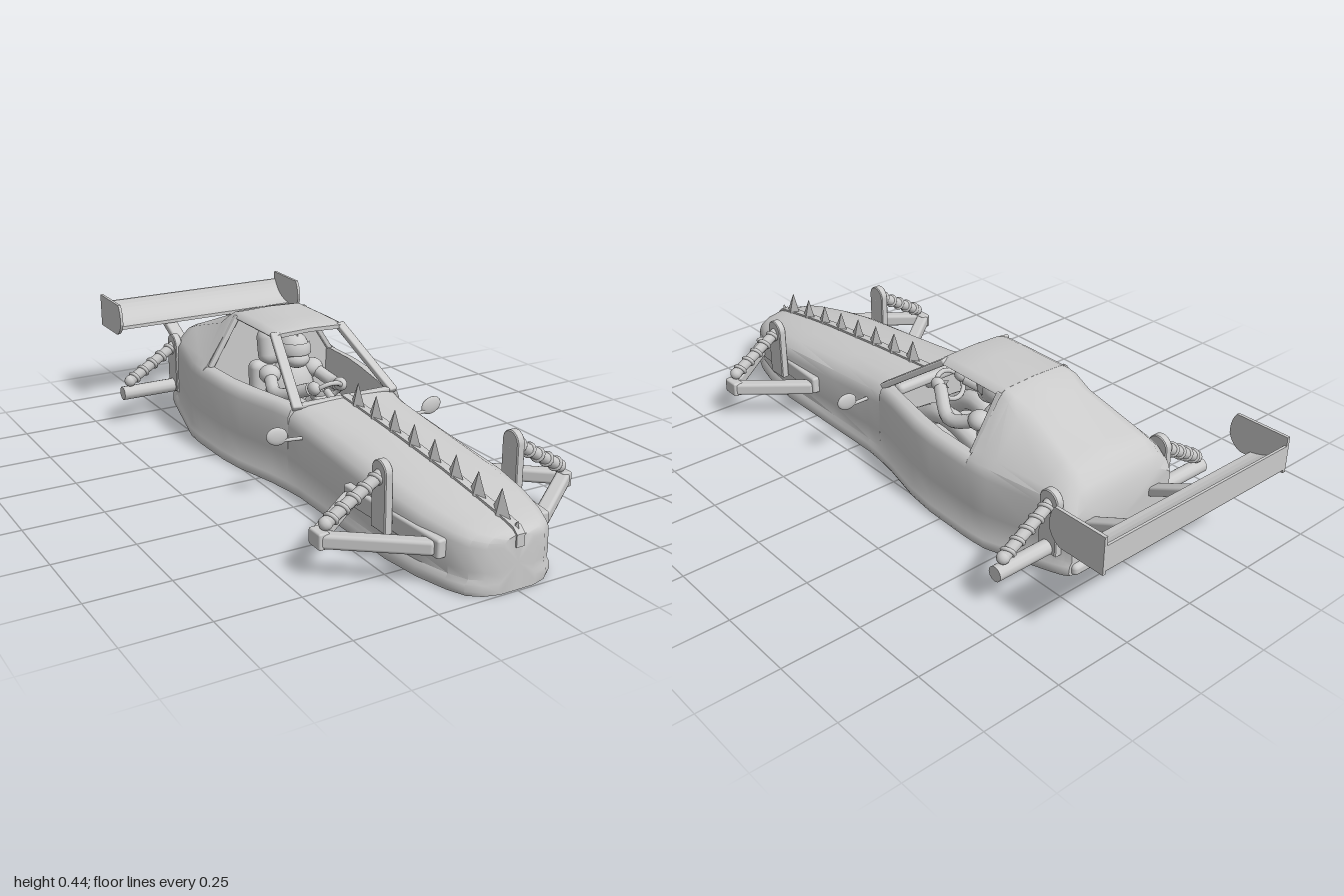
import * as THREE from 'three';
import { toCreasedNormals } from 'three/addons/utils/BufferGeometryUtils.js';
import { RoundedBoxGeometry } from 'three/addons/geometries/RoundedBoxGeometry.js';

const grey = new THREE.MeshStandardMaterial({ color: 0xcccccc });
const V = (x, y, z) => new THREE.Vector3(x, y, z);

// Skin over half sections (bottom centre to top centre), mirrored, running from front to back
function loft(stations) {
  const rings = stations.map(({ z, half }) => {
    const right = half.map(([x, y]) => V(x, y, z));
    const left = half.slice(1, -1).reverse().map(([x, y]) => V(-x, y, z));
    return [...right, ...left];
  });
  const pos = [];
  const tri = (...ps) => ps.forEach(p => pos.push(p.x, p.y, p.z));
  const n = rings[0].length;
  const middle = ring => ring[0].clone().lerp(ring[n / 2], 0.5);
  const first = rings[0], last = rings[rings.length - 1];
  for (let j = 0; j < n; j++) {
    const k = (j + 1) % n;
    for (let i = 0; i < rings.length - 1; i++) {
      const r = rings[i], q = rings[i + 1];
      tri(r[j], q[j], r[k]);
      tri(r[k], q[j], q[k]);
    }
    tri(middle(first), first[j], first[k]);
    tri(middle(last), last[k], last[j]);
  }
  const g = new THREE.BufferGeometry();
  g.setAttribute('position', new THREE.Float32BufferAttribute(pos, 3));
  return toCreasedNormals(g, 0.65);
}

// Lower hull with its skirt, shared by every section
const lower = (w, yb, ySh) => [
  [0, yb], [w - 0.006, yb], [w, yb + 0.012], [w - 0.002, yb + 0.032],
  [w - 0.011, yb + 0.045], [w - 0.009, (yb + ySh) / 2], [w - 0.011, ySh],
];

export function createModel() {
  const model = new THREE.Group();
  const add = (name, geo, x = 0, y = 0, z = 0, parent = model) => {
    const m = new THREE.Mesh(geo, grey);
    m.name = name;
    m.position.set(x, y, z);
    parent.add(m);
    return m;
  };
  const beam = (name, a, b, w, h) => {
    const m = add(name, new RoundedBoxGeometry(w, h, a.distanceTo(b), 2, Math.min(w, h) * 0.25));
    m.position.copy(a).lerp(b, 0.5);
    m.lookAt(b);
    return m;
  };
  const rod = (name, a, b, r, sides = 12) =>
    add(name, new THREE.TubeGeometry(new THREE.LineCurve3(a, b), 1, r, sides));

  // Hull: nose, open cockpit tub, raised rear cover
  const nose = [ // z, width, shoulder y, top x, top y
    [0.995, 0.06, 0.13, 0.025, 0.155], [0.982, 0.105, 0.132, 0.045, 0.164],
    [0.955, 0.14, 0.135, 0.06, 0.172], [0.9, 0.164, 0.14, 0.07, 0.182],
    [0.8, 0.19, 0.15, 0.08, 0.198], [0.67, 0.205, 0.162, 0.09, 0.216],
    [0.4, 0.205, 0.182, 0.1, 0.244], [0.2, 0.205, 0.2, 0.115, 0.262], [0.13, 0.212, 0.21, 0.14, 0.268],
  ].map(([z, w, ySh, x, y]) => {
    const round = t => [x + (w - 0.011 - x) * Math.cos(t), ySh + (y - ySh) * Math.sin(t)];
    return { z, half: [...lower(w, 0, ySh), round(0.5), round(1), [x, y], [x * 0.5, y + 0.004], [0, y + 0.005]] };
  });
  const tub = [ // z, width, rail inner x
    [0.13, 0.212, 0.15], [0.05, 0.225, 0.17], [-0.1, 0.26, 0.2], [-0.2, 0.272, 0.215], [-0.36, 0.275, 0.22],
  ].map(([z, w, x]) => ({ z, half: [...lower(w, 0, 0.235),
    [w - 0.02, 0.257], [w - 0.033, 0.267], [x, 0.27], [x - 0.01, 0.07], [0, 0.07]] }));
  const cover = [ // z, width, bottom, shoulder y, flank x, y, roof edge x, y, roof inner x, crown y
    [-0.36, 0.275, 0, 0.235, 0.23, 0.28, 0.135, 0.427, 0.11, 0.445],
    [-0.4, 0.274, 0, 0.235, 0.23, 0.282, 0.135, 0.42, 0.11, 0.436],
    [-0.45, 0.27, 0, 0.235, 0.226, 0.284, 0.142, 0.385, 0.1, 0.414],
    [-0.63, 0.235, 0.022, 0.235, 0.208, 0.283, 0.155, 0.332, 0.125, 0.344],
    [-0.68, 0.225, 0.028, 0.23, 0.2, 0.272, 0.16, 0.312, 0.13, 0.326],
    [-0.715, 0.215, 0.032, 0.22, 0.193, 0.25, 0.16, 0.282, 0.13, 0.295],
    [-0.735, 0.205, 0.035, 0.2, 0.184, 0.225, 0.15, 0.245, 0.12, 0.25],
  ].map(([z, w, yb, ySh, x, y, xe, ye, xi, yc]) => ({ z, half: [...lower(w, yb, ySh),
    [(w + x) / 2, (ySh + y) / 2 + 0.004], [x, y], [xe, ye], [xi, yc - 0.004], [0, yc]] }));
  add('hull', loft([...nose, ...tub, ...cover]));
  add('rearSkirt', new RoundedBoxGeometry(0.39, 0.036, 0.04, 3, 0.014), 0, 0.053, -0.731);

  // Cabin roof and window pillars
  const roof = [[-0.085, 0.002], [-0.11, 0.008], [-0.2, 0.011], [-0.362, 0.011]].map(([z, h]) => ({ z, half: [
    [0, 0.424], [0.128, 0.418], [0.135, 0.424], [0.13, 0.424 + h * 0.6], [0.11, 0.43 + h], [0, 0.434 + h]] }));
  add('roof', loft(roof));
  for (const s of [1, -1]) {
    beam('windscreenPillar', V(s * 0.172, 0.262, 0.14), V(s * 0.118, 0.43, -0.105), 0.032, 0.02);
    beam('doorPillar', V(s * 0.229, 0.265, -0.355), V(s * 0.126, 0.43, -0.355), 0.02, 0.016);
  }
  add('windscreenSill', new RoundedBoxGeometry(0.33, 0.014, 0.025, 2, 0.005), 0, 0.268, 0.13);

  // Spine strip along the nose, with a row of blade spikes
  const crown = [[1.0, 0.155], [0.982, 0.171], [0.9, 0.188], [0.67, 0.222], [0.4, 0.25], [0.13, 0.273]];
  const strip = new THREE.Shape();
  strip.moveTo(0.98, 0.125).lineTo(1, 0.125);
  crown.forEach(([z, y]) => strip.lineTo(z, y + 0.006));
  strip.lineTo(0.13, 0.25).lineTo(0.96, 0.14);
  add('spineStrip', new THREE.ExtrudeGeometry(strip, { depth: 0.026, bevelEnabled: false })
    .rotateY(-Math.PI / 2), 0.013);
  const spike = new THREE.ConeGeometry(1, 1, 4).toNonIndexed();
  spike.computeVertexNormals();
  for (let i = 0; i < 8; i++) {
    const m = add('spike', spike, 0, 0.216 + 0.0115 * i, 0.915 - i * 0.101);
    m.scale.set(0.02, 0.082, 0.044);
  }
  const tip = add('noseSpike', spike, 0, 0.168, 0.978);
  tip.scale.set(0.018, 0.05, 0.026);
  tip.rotation.x = 0.3;

  // Rear wing: wedge section with hollow upper face, end plates and struts
  const foil = new THREE.Shape();
  foil.moveTo(-0.885, 0.278).lineTo(-0.885, 0.29).quadraticCurveTo(-0.965, 0.3, -0.992, 0.362)
    .lineTo(-1, 0.362).lineTo(-1, 0.285).lineTo(-0.99, 0.278);
  add('wing', new THREE.ExtrudeGeometry(foil, { depth: 0.72, bevelEnabled: false, curveSegments: 8 })
    .rotateY(-Math.PI / 2), 0.36);
  const plate = new THREE.Shape();
  plate.moveTo(-0.85, 0.275).lineTo(-1, 0.275).lineTo(-1, 0.39).lineTo(-0.825, 0.388)
    .quadraticCurveTo(-0.805, 0.36, -0.808, 0.32).quadraticCurveTo(-0.82, 0.285, -0.85, 0.275);
  const plateGeo = new THREE.ExtrudeGeometry(plate, { depth: 0.01, bevelEnabled: false }).rotateY(-Math.PI / 2);
  for (const s of [1, -1]) {
    add('wingEndPlate', plateGeo, s * 0.36 + 0.005);
    beam('wingStrut', V(s * 0.13, 0.17, -0.71), V(s * 0.13, 0.285, -0.95), 0.046, 0.028);
  }

  // Suspension
  const bracket = new THREE.Shape();
  bracket.moveTo(-0.032, 0.1).lineTo(0.032, 0.1).lineTo(0.032, 0.266)
    .absarc(0, 0.266, 0.032, 0, Math.PI, false).lineTo(-0.032, 0.1);
  const bracketGeo = new THREE.ExtrudeGeometry(bracket,
    { depth: 0.02, bevelEnabled: true, bevelSize: 0.003, bevelThickness: 0.003, bevelSegments: 1 }).rotateY(-Math.PI / 2);
  const shock = (s, z) => {
    const g = new THREE.Group(), a = V(s * 0.215, 0.265, z), b = V(s * 0.393, 0.156, z);
    g.name = 'shockAbsorber';
    g.position.copy(a);
    g.lookAt(b);
    const len = a.distanceTo(b);
    add('damper', new THREE.CylinderGeometry(0.018, 0.018, len, 12).rotateX(Math.PI / 2), 0, 0, len / 2, g);
    for (let i = 0; i < 5; i++) {
      const ring = add('coil', new THREE.TorusGeometry(0.018, 0.006, 8, 14), 0, 0, 0.03 + i * (len - 0.05) / 4, g);
      ring.rotation.y = 0.35;
    }
    add('lowerEye', new THREE.SphereGeometry(0.02, 12, 8), 0, 0, len, g);
    model.add(g);
  };
  for (const s of [1, -1]) {
    for (const z of [0.685, -0.67]) {
      add(z > 0 ? 'frontBracket' : 'rearBracket', bracketGeo, s * 0.219 + 0.01, 0, z);
      shock(s, z);
    }
    beam('frontArmRail', V(s * 0.203, 0.128, 0.48), V(s * 0.168, 0.114, 0.895), 0.03, 0.056);
    beam('frontArm', V(s * 0.205, 0.116, 0.5), V(s * 0.41, 0.114, 0.67), 0.042, 0.042);
    beam('frontArm', V(s * 0.175, 0.114, 0.87), V(s * 0.41, 0.114, 0.685), 0.042, 0.042);
    add('frontArmEnd', new RoundedBoxGeometry(0.034, 0.048, 0.06, 2, 0.006), s * 0.408, 0.115, 0.678);
    const axle = add('rearAxle', new THREE.CylinderGeometry(0.024, 0.024, 0.24, 12), s * 0.303, 0.115, -0.67);
    axle.rotation.z = Math.PI / 2;

    // Wing mirrors
    rod('mirrorStalk', V(s * 0.195, 0.195, 0.205), V(s * 0.258, 0.198, 0.2), 0.006, 8);
    const mirror = add('mirror', new THREE.SphereGeometry(1, 16, 10), s * 0.276, 0.214, 0.2);
    mirror.scale.set(0.037, 0.028, 0.009);
    mirror.rotation.z = s * 0.25;
  }

  // Seat and steering wheel
  add('seatBack', new RoundedBoxGeometry(0.21, 0.21, 0.06, 3, 0.025), 0, 0.175, -0.31);
  const headrest = add('headrest', new RoundedBoxGeometry(0.145, 0.125, 0.07, 5, 0.034), 0, 0.325, -0.308);
  headrest.rotation.x = -0.15;
  add('seatCushion', new RoundedBoxGeometry(0.21, 0.05, 0.22, 3, 0.02), 0, 0.095, -0.2);
  const wheel = add('steeringWheel', new THREE.TorusGeometry(0.048, 0.008, 8, 24), 0, 0.255, 0.02);
  wheel.rotation.x = 0.75;
  rod('steeringColumn', V(0, 0.255, 0.02), V(0, 0.21, 0.13), 0.012);
  add('dashboard', new RoundedBoxGeometry(0.28, 0.035, 0.04, 3, 0.015), 0, 0.245, 0.115);

  // Driver
  const ball = new THREE.SphereGeometry(1, 20, 14);
  const blob = (name, x, y, z, a, b, c) => add(name, ball, x, y, z).scale.set(a, b, c);
  blob('torso', 0, 0.195, -0.225, 0.085, 0.105, 0.065);
  blob('helmet', 0, 0.34, -0.2, 0.052, 0.057, 0.058);
  blob('helmetChin', 0, 0.31, -0.178, 0.043, 0.03, 0.044);
  const visor = add('visor', new THREE.SphereGeometry(1, 20, 6, 0, Math.PI, 1.1, 0.65), 0, 0.34, -0.2);
  visor.scale.set(0.056, 0.061, 0.066);
  for (let i = 0; i < 3; i++) {
    const m = add('helmetCrest', spike, 0, 0.396 - i * i * 0.004, -0.18 - i * 0.022);
    m.scale.set(0.012, 0.03, 0.016);
  }
  for (const s of [1, -1]) {
    blob('shoulder', s * 0.08, 0.258, -0.215, 0.036, 0.032, 0.038);
    const arm = new THREE.CatmullRomCurve3([V(s * 0.08, 0.258, -0.215), V(s * 0.11, 0.225, -0.11), V(s * 0.052, 0.266, 0.005)]);
    add('arm', new THREE.TubeGeometry(arm, 10, 0.022, 10));
    blob('hand', s * 0.048, 0.272, 0.022, 0.02, 0.022, 0.026);
    const leg = new THREE.CatmullRomCurve3([V(s * 0.05, 0.135, -0.2), V(s * 0.065, 0.19, -0.03), V(s * 0.06, 0.11, 0.12)]);
    add('leg', new THREE.TubeGeometry(leg, 10, 0.034, 10));
  }
  return model;
}
